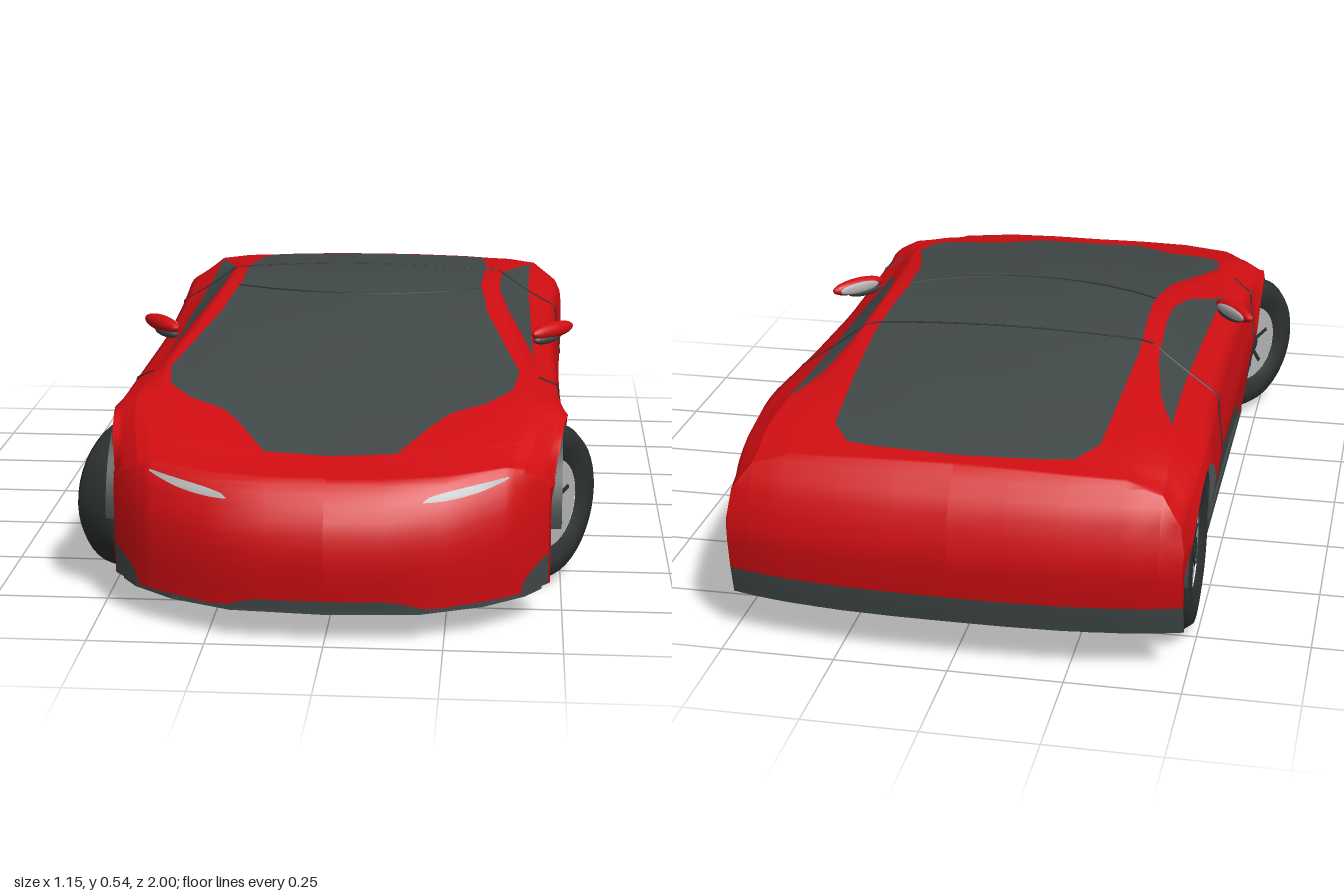
import * as THREE from 'three';

const material = (name, color, side = THREE.FrontSide) => {
  const m = new THREE.MeshStandardMaterial({ color, side });
  m.name = name;
  return m;
};

// Linear table lookup: rows are [s, value, value...]
function lookup(table, s, col = 1) {
  if (s <= table[0][0]) return table[0][col];
  for (let i = 1; i < table.length; i++) {
    const a = table[i - 1], b = table[i];
    if (s <= b[0]) return a[col] + (b[col] - a[col]) * (s - a[0]) / (b[0] - a[0]);
  }
  return table[table.length - 1][col];
}
const smooth = (t, s, col = 1) => (lookup(t, s - 0.05, col) + lookup(t, s, col) + lookup(t, s + 0.05, col)) / 3;

// Body lines along the length: s runs from tail (-1) to nose (1)
const SPINE = [[-1, .42], [-.85, .447], [-.6, .487], [-.4, .512], [-.2, .525], [0, .52], [.2, .492], [.4, .447], [.6, .398], [.8, .358], [1, .32]];
const RAIL = [[-1, .36, .41], [-.85, .37, .44], [-.6, .36, .468], [-.4, .345, .495], [-.2, .335, .516], [0, .345, .508], [.2, .38, .47], [.35, .41, .44], [.45, .415, .425], [.6, .41, .405], [.8, .4, .372], [1, .37, .33]];
const BELT = [[-1, .44, .385], [-.85, .44, .43], [-.68, .425, .452], [-.4, .42, .445], [-.1, .425, .435], [.2, .43, .42], [.35, .44, .415], [.6, .455, .402], [.8, .44, .365], [1, .41, .32]];
const SHOULDER = [[-1, .48, .33], [-.85, .495, .38], [-.6, .5, .41], [-.3, .485, .4], [0, .48, .39], [.3, .485, .388], [.6, .49, .385], [.8, .475, .345], [1, .45, .29]];
const WIDTH = [[-1, .49], [-.9, .505], [-.6, .512], [-.2, .5], [.2, .5], [.5, .51], [.7, .5], [.85, .49], [1, .47]];
const GLASS = [[-.945, 0], [-.935, .24], [-.85, .29], [-.4, .31], [-.1, .3], [.1, .32], [.42, .4], [.52, .385], [.6, .33], [.655, .25], [.72, .21], [.865, .14], [.875, 0]];
const WINDOW = [[-.7, 1], [-.55, .4], [-.4, .15], [-.1, .1], [.05, .3], [.25, 1]];
const SILL = [[-.9, .15], [-.86, .15], [-.6, .24], [-.5, .24], [-.4, .232], [.08, .195], [.2, .14], [.33, .05]];
const NOSE = [[.06, .985], [.15, 1], [.2, 1], [.25, .985], [.3, .95], [.34, .9]];
const TAIL = [[.085, .97], [.15, .985], [.25, 1], [.35, .975], [.42, .92], [.455, .85]];
const ARCHES = [{ z: .575, y: .175, r: .192 }, { z: -.71, y: .178, r: .187 }];

const noseZ = (x, y) => 1 - 2 * Math.abs(x) ** 3 - (1 - lookup(NOSE, y)) * Math.max(.1, 1 - 3.5 * x * x);
const tailZ = (x, y) => .4 * Math.abs(x) ** 3 - lookup(TAIL, y);
function mapZ(s, x, y) {
  if (s > .55) return .55 + (noseZ(x, y) - .55) * (s - .55) / .45;
  if (s < -.6) return -.6 + (tailZ(x, y) + .6) * (s + .6) / -.4;
  return s;
}
function bottomY(z) {
  const base = z < -.8 ? .085 : .06;
  for (const a of ARCHES) {
    const d = a.r * a.r - (z - a.z) ** 2;
    if (d > 0) return a.y + Math.sqrt(d);
  }
  return base;
}

// Half cross-section from centreline down to the lower edge
const STEPS = [6, 3, 2, 2, 4, 4, 2, 2];
const ROWS = STEPS.reduce((a, b) => a + b, 0);
function section(s) {
  const yc = smooth(SPINE, s), xr = smooth(RAIL, s, 1), yr = smooth(RAIL, s, 2);
  const top = x => [x, yc + (yr - yc) * (x / xr) ** 2];
  const belt = [smooth(BELT, s, 1), smooth(BELT, s, 2)];
  const w = lookup(WINDOW, s), xw = smooth(WIDTH, s), xg = Math.min(lookup(GLASS, s), xr - .005);
  const low = bottomY(mapZ(s, xw, .2));
  const mid = Math.max(.27, low + .002), sill = Math.max(lookup(SILL, s), low);
  const tuck = y => [xw - .15 * (mid - y), y];
  const keys = [[0, yc], top(xg), [xr, yr], [xr + (belt[0] - xr) * w, yr + (belt[1] - yr) * w], belt,
    [smooth(SHOULDER, s, 1), smooth(SHOULDER, s, 2)], [xw, mid], tuck(sill), tuck(low)];
  const pts = [keys[0]];
  STEPS.forEach((n, k) => {
    for (let i = 1; i <= n; i++) {
      const t = i / n, a = keys[k], b = keys[k + 1], x = a[0] + (b[0] - a[0]) * t;
      pts.push(k < 2 ? top(x) : [x, a[1] + (b[1] - a[1]) * t]);
    }
  });
  return pts;
}
const END = { front: section(1), rear: section(-1) };
function surface(s, k, pts = section(s)) {
  const r = Math.abs(k), [x, y] = pts[r];
  return new THREE.Vector3(Math.sign(k) * x, y, mapZ(s, x, (s > 0 ? END.front : END.rear)[r][1]));
}

// Body skin: tail face, lofted sides and roof, nose face; split into parts by colour
function addBody(car, mats) {
  const stations = [];
  const face = (pts, level, zOf, end) => stations.push({ end, level, ring: k => {
    const [x, y0] = pts[Math.abs(k)], y = Math.min(y0, level);
    return new THREE.Vector3(Math.sign(k) * x, y, zOf(x, y));
  } });
  for (const l of [.085, .115, .15, .18, .22, .26, .3, .34, .37, .4]) face(END.rear, l, tailZ, 'rear');
  for (let i = 0; i <= 160; i++) {
    const s = -1 + i / 80, pts = section(s);
    stations.push({ s, ring: k => surface(s, k, pts) });
  }
  for (const l of [.315, .3, .28, .25, .22, .19, .15, .11, .08, .06]) face(END.front, l, noseZ, 'front');
  const positions = [], n = 2 * ROWS + 1;
  for (const st of stations) for (let k = -ROWS; k <= ROWS; k++) positions.push(...st.ring(k).toArray());
  const parts = { paintwork: [], canopyGlass: [], sideWindows: [], lowerTrim: [] };
  for (let i = 0; i < stations.length - 1; i++) {
    const st = stations[i], next = stations[i + 1];
    for (let j = 0; j < n - 1; j++) {
      const r = j >= ROWS ? j - ROWS : ROWS - 1 - j;
      let part = 'paintwork';
      if (st.end === 'rear') { if (st.level < .149) part = 'lowerTrim'; }
      else if (!next.end) {
        if (r < 6) part = 'canopyGlass';
        else if (r >= 11 && r < 13) part = 'sideWindows';
        else if (r >= 23) part = 'lowerTrim';
      }
      const a = i * n + j, b = a + n;
      parts[part].push(a, b, a + 1, b, b + 1, a + 1);
    }
  }
  const whole = new THREE.BufferGeometry();
  whole.setAttribute('position', new THREE.Float32BufferAttribute(positions, 3));
  whole.setIndex(Object.values(parts).flat());
  whole.computeVertexNormals();
  for (const [name, index] of Object.entries(parts)) {
    const g = new THREE.BufferGeometry();
    g.setAttribute('position', whole.attributes.position);
    g.setAttribute('normal', whole.attributes.normal);
    g.setIndex(index);
    add(car, name, g, name === 'paintwork' ? mats.red : mats.graphite);
  }
}

function add(parent, name, geometry, mat, x = 0, y = 0, z = 0) {
  const mesh = new THREE.Mesh(geometry, mat);
  mesh.name = name;
  mesh.position.set(x, y, z);
  parent.add(mesh);
  return mesh;
}

// Thin plate lying on the nose between x0 and x1; low and high give its edges
function nosePlate(x0, x1, low, high) {
  const g = new THREE.PlaneGeometry(1, 1, 16, 4), p = g.attributes.position;
  for (let i = 0; i < p.count; i++) {
    const t = p.getX(i) + .5, x = x0 + (x1 - x0) * t, y = low(t) + (high(t) - low(t)) * (p.getY(i) + .5);
    p.setXYZ(i, x, y, noseZ(x, y) + .006);
  }
  g.computeVertexNormals();
  return g;
}

// Flat floor panel from a half outline of [x, z], mirrored across the middle
function pan(half, depth) {
  const pts = [...half, ...half.map(([x, z]) => [-x, z]).reverse()].map(p => new THREE.Vector2(...p));
  return new THREE.ExtrudeGeometry(new THREE.Shape(pts), { depth, bevelEnabled: false }).rotateX(Math.PI / 2);
}

function makeWheel(mats) {
  const wheel = new THREE.Group();
  const profile = [[.1, -.045], [.13, -.06], [.163, -.056], [.177, -.036], [.177, .036], [.163, .056], [.13, .06], [.1, .045]];
  add(wheel, 'tyre', new THREE.LatheGeometry(profile.map(p => new THREE.Vector2(...p)), 40).rotateZ(-Math.PI / 2), mats.rubber);
  add(wheel, 'rim', new THREE.CylinderGeometry(.104, .104, .084, 32).rotateZ(-Math.PI / 2), mats.silver);
  add(wheel, 'hub', new THREE.CylinderGeometry(.026, .03, .1, 16).rotateZ(-Math.PI / 2), mats.rubber);
  for (let i = 0; i < 5; i++) {
    const gap = add(wheel, 'spokeGap', new THREE.BoxGeometry(.006, .05, .009).translate(.042, .05, 0), mats.rubber);
    gap.rotation.x = i * Math.PI * 2 / 5;
  }
  return wheel;
}

export function createModel() {
  const car = new THREE.Group();
  car.name = 'sportsCar';
  const mats = {
    red: material('red paint', 0xd00e12, THREE.DoubleSide),
    graphite: material('graphite glass and trim', 0x414848, THREE.DoubleSide),
    rubber: material('dark rubber', 0x2d3131),
    silver: material('silver', 0xb4b4b4),
  };
  addBody(car, mats);

  // Floor panels
  add(car, 'floor', pan([[0, .98], [.2, .965], [.33, .91], [.42, .84], [.455, .79], [.455, .77], [.28, .77], [.28, .38],
    [.475, .38], [.475, -.525], [.29, -.525], [.29, -.86], [0, -.86]], .02), mats.graphite, 0, .067, 0);
  add(car, 'rearPan', pan([[0, -.84], [.47, -.895], [.46, -.915], [.3, -.95], [0, -.96]], .04), mats.graphite, 0, .12, 0);

  // Wheel wells and wheels; the front pair is steered
  ARCHES.forEach((a, i) => {
    for (const side of [1, -1]) {
      const liner = new THREE.CylinderGeometry(a.r, a.r, .22, 32, 1, true, 0, Math.PI).rotateZ(Math.PI / 2);
      add(car, 'wheelWell', liner, mats.graphite, side * .385, a.y, a.z);
      add(car, 'wellWall', new THREE.CircleGeometry(a.r, 32).rotateY(Math.PI / 2), mats.graphite, side * .275, a.y, a.z);
      const wheel = makeWheel(mats);
      wheel.name = i ? 'rearWheel' : 'frontWheel';
      wheel.position.set(side * .438, .177, a.z);
      wheel.rotation.y = (side > 0 ? 0 : Math.PI) - (i ? 0 : .57);
      car.add(wheel);
    }
  });

  // Headlights, bumper corners, mirrors
  for (const side of [1, -1]) {
    const half = new THREE.Group();
    half.name = side > 0 ? 'leftDetails' : 'rightDetails';
    half.scale.x = side;
    add(half, 'headlight', nosePlate(.205, .38, t => .288 + .028 * t * t, t => .29 + .03 * Math.sqrt(t)), mats.silver);
    add(half, 'bumperCorner', nosePlate(.41, .468, () => .062, t => .063 + .07 * Math.sqrt(t)), mats.graphite);
    const mirror = new THREE.Group();
    mirror.name = 'mirror';
    mirror.position.set(.478, .445, .07);
    mirror.rotation.y = .87;
    add(mirror, 'mirrorShell', new THREE.SphereGeometry(1, 24, 14).scale(.075, .02, .02), mats.red);
    add(mirror, 'mirrorBase', new THREE.SphereGeometry(1, 16, 10).scale(.05, .014, .016), mats.graphite, -.02, -.016, 0);
    add(mirror, 'mirrorGlass', new THREE.SphereGeometry(1, 20, 10).scale(.058, .014, .006), mats.silver, .005, 0, -.016);
    half.add(mirror);
    car.add(half);
  }
  add(car, 'lowerIntake', nosePlate(-.22, .22, () => .058, t => .06 + .022 * Math.min(1, 6 * t, 6 - 6 * t)), mats.graphite);

  // Panel seams following the skin
  const seam = (name, from, to, sOf) => {
    const pts = [];
    for (let k = from; k <= to; k++) pts.push(surface(sOf(k), k));
    add(car, name, new THREE.TubeGeometry(new THREE.CatmullRomCurve3(pts), 60, .0028, 5), mats.rubber);
  };
  seam('roofSeam', -21, 21, k => -.33 - .004 * Math.max(0, Math.abs(k) - 6));
  seam('windscreenSeam', -6, 6, k => .02 - .0025 * k * k);
  seam('leftDoorSeam', 13, 22, k => .4 - .007 * (k - 13));
  seam('rightDoorSeam', -22, -13, k => .4 - .007 * (-k - 13));
  return car;
}
